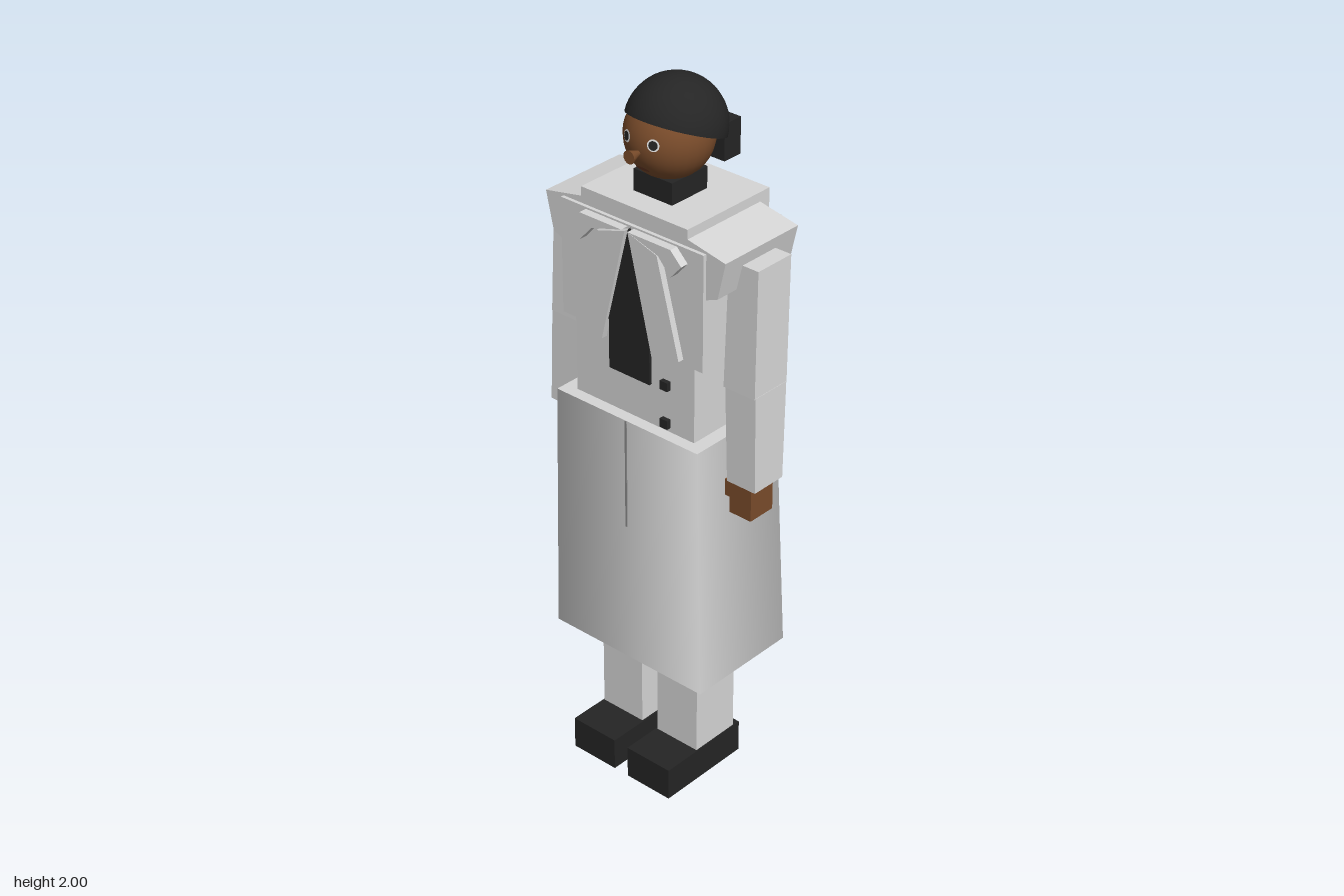
import * as THREE from 'three';

export function createModel() {
  const mat = (name, color, side = THREE.FrontSide) => {
    const m = new THREE.MeshStandardMaterial({ color, side });
    m.name = name;
    return m;
  };
  const cloth = mat('pale grey cloth', 0xd6d6d6);
  const seam = mat('seam grey', 0x8c8c8c);
  const black = mat('black', 0x252525, THREE.DoubleSide);
  const skin = mat('brown skin', 0x7a4c2b);
  const lips = mat('lips', 0x6a3a26);
  const white = mat('eye white', 0xf0f0f0);

  const model = new THREE.Group();
  const add = (name, geo, m, parent = model) => {
    const mesh = new THREE.Mesh(geo, m);
    mesh.name = name;
    parent.add(mesh);
    return mesh;
  };
  // Box given by its limits on each axis
  const box = (name, m, [x0, x1], [y0, y1], [z0, z1]) => {
    const g = new THREE.BoxGeometry(Math.abs(x1 - x0), y1 - y0, z1 - z0);
    g.translate((x0 + x1) / 2, (y0 + y1) / 2, (z0 + z1) / 2);
    return add(name, g, m);
  };
  // Tapered box: each end is [y, x0, x1, z0, z1]
  const taper = (name, m, bottom, top, s = 1) => {
    const g = new THREE.BoxGeometry(1, 1, 1);
    const p = g.attributes.position;
    for (let i = 0; i < p.count; i++) {
      const [y, x0, x1, z0, z1] = p.getY(i) > 0 ? top : bottom;
      const [a, b] = s > 0 ? [x0, x1] : [-x1, -x0];
      p.setXYZ(i, p.getX(i) > 0 ? b : a, y, p.getZ(i) > 0 ? z1 : z0);
    }
    g.computeVertexNormals();
    return add(name, g, m);
  };
  // Flat outline extruded between two depths, mirrored with s = -1
  const plate = (name, m, points, z0, z1, s = 1) => {
    const shape = new THREE.Shape(points.map(([x, y]) => new THREE.Vector2(x * s, y)));
    const g = new THREE.ExtrudeGeometry(shape, { depth: z1 - z0, bevelEnabled: false });
    g.translate(0, 0, z0);
    return add(name, g, m);
  };

  // Skirt: four-sided, softly shaded, back leaning outward toward the hem
  const skirt = new THREE.CylinderGeometry(0.24 * Math.SQRT2, 0.256 * Math.SQRT2, 0.735, 4, 1, false, Math.PI / 4);
  const sp = skirt.attributes.position;
  for (let i = 0; i < sp.count; i++) {
    const top = sp.getY(i) > 0;
    const z = sp.getZ(i);
    sp.setZ(i, Math.abs(z) < 0.01 ? 0 : z > 0 ? 0.154 : top ? -0.153 : -0.185);
  }
  skirt.translate(0, 0.7425, 0);
  add('skirt', skirt, cloth);
  box('skirtFrontSeam', seam, [-0.003, 0.003], [0.79, 1.11], [0.15, 0.156]);
  const vent = box('skirtBackVent', seam, [-0.003, 0.003], [-0.14, 0.14], [-0.003, 0.003]);
  vent.position.set(0, 0.56, -0.1775);
  vent.rotation.x = 0.043;

  // Torso, jacket and collar
  box('waist', cloth, [-0.2, 0.2], [1.1, 1.34], [-0.15, 0.12]);
  box('jacket', cloth, [-0.235, 0.235], [1.33, 1.655], [-0.16, 0.13]);
  box('collar', cloth, [-0.175, 0.175], [1.65, 1.7], [-0.185, 0.12]);
  box('collarBackFlap', cloth, [-0.175, 0.175], [1.615, 1.66], [-0.185, -0.155]);
  plate('tie', black, [[0, 1.65], [-0.068, 1.38], [-0.068, 1.235], [0.068, 1.235], [0.068, 1.38]], 0.131, 0.14);
  for (const y of [1.135, 1.245]) box('button', black, [0.096, 0.121], [y - 0.0125, y + 0.0125], [0.12, 0.133]);

  for (const s of [1, -1]) {
    // Lapels and notched collar points
    plate('lapel', cloth, [[0.005, 1.645], [0.1, 1.615], [0.172, 1.345], [0.085, 1.315]], 0.13, 0.148, s);
    plate('collarPoint', cloth, [[0.01, 1.65], [0.15, 1.65], [0.185, 1.615], [0.15, 1.575], [0.11, 1.62]], 0.13, 0.154, s);

    // Shoulder cap with its hanging flap
    plate('shoulder', cloth, [[0.17, 1.675], [0.296, 1.65], [0.272, 1.545], [0.235, 1.53], [0.235, 1.645], [0.17, 1.645]], -0.15, 0.12, s);

    // Sleeves, hands and thumbs
    taper('upperSleeve', cloth, [1.265, 0.243, 0.344, -0.062, 0.06], [1.615, 0.245, 0.338, -0.075, 0.048], s);
    taper('lowerSleeve', cloth, [0.997, 0.26, 0.352, -0.045, 0.062], [1.268, 0.247, 0.345, -0.06, 0.058], s);
    box('hand', skin, [0.264 * s, 0.334 * s], [0.902, 1.0], [-0.03, 0.055]);
    box('thumb', skin, [0.24 * s, 0.27 * s], [0.943, 0.99], [0.005, 0.05]);

    // Legs and shoes
    box('leg', cloth, [0.028 * s, 0.17 * s], [0.09, 0.5], [-0.083, 0.068]);
    box('shoe', black, [0.024 * s, 0.173 * s], [0, 0.095], [-0.105, 0.185]);
  }

  // Neck and head
  box('neck', black, [-0.063, 0.063], [1.69, 1.76], [-0.08, 0.05]);
  const head = new THREE.Group();
  head.name = 'head';
  head.position.set(0, 1.855, -0.012);
  model.add(head);
  const R = 0.115;
  add('face', new THREE.SphereGeometry(R, 28, 20), skin, head);

  // Places a thin disc on the face, pointing outward
  const onFace = (name, geo, m, x, y, lift) => {
    const n = new THREE.Vector3(x, y, Math.sqrt(R * R - x * x - y * y)).normalize();
    const mesh = add(name, geo, m, head);
    mesh.position.copy(n).multiplyScalar(R + lift);
    mesh.quaternion.setFromUnitVectors(new THREE.Vector3(0, 0, 1), n);
    return mesh;
  };
  for (const s of [1, -1]) {
    onFace('eyeWhite', new THREE.CircleGeometry(0.016, 20), white, 0.042 * s, 0.015, 0.001);
    onFace('pupil', new THREE.CircleGeometry(0.012, 20), black, 0.042 * s, 0.015, 0.0025);
  }
  onFace('mouth', new THREE.CircleGeometry(0.022, 20), lips, 0, -0.062, 0.0015).scale.y = 0.3;

  // Nose widens toward the front
  const nose = new THREE.CylinderGeometry(0.018, 0.006, 0.036, 16);
  nose.rotateX(Math.PI / 2);
  nose.translate(0, -0.015, 0.129);
  add('nose', nose, skin, head);

  // Hair cap tilted back, with a block bun behind
  const hair = add('hair', new THREE.SphereGeometry(0.13, 28, 14, 0, Math.PI * 2, 0, Math.PI / 2), black);
  hair.position.set(0, 1.87, -0.036);
  hair.rotation.x = -0.37;
  box('bun', black, [-0.105, 0.105], [1.78, 1.88], [-0.155, -0.095]);
  box('bunBand', black, [-0.045, 0.045], [1.84, 1.88], [-0.17, -0.15]);

  return model;
}
